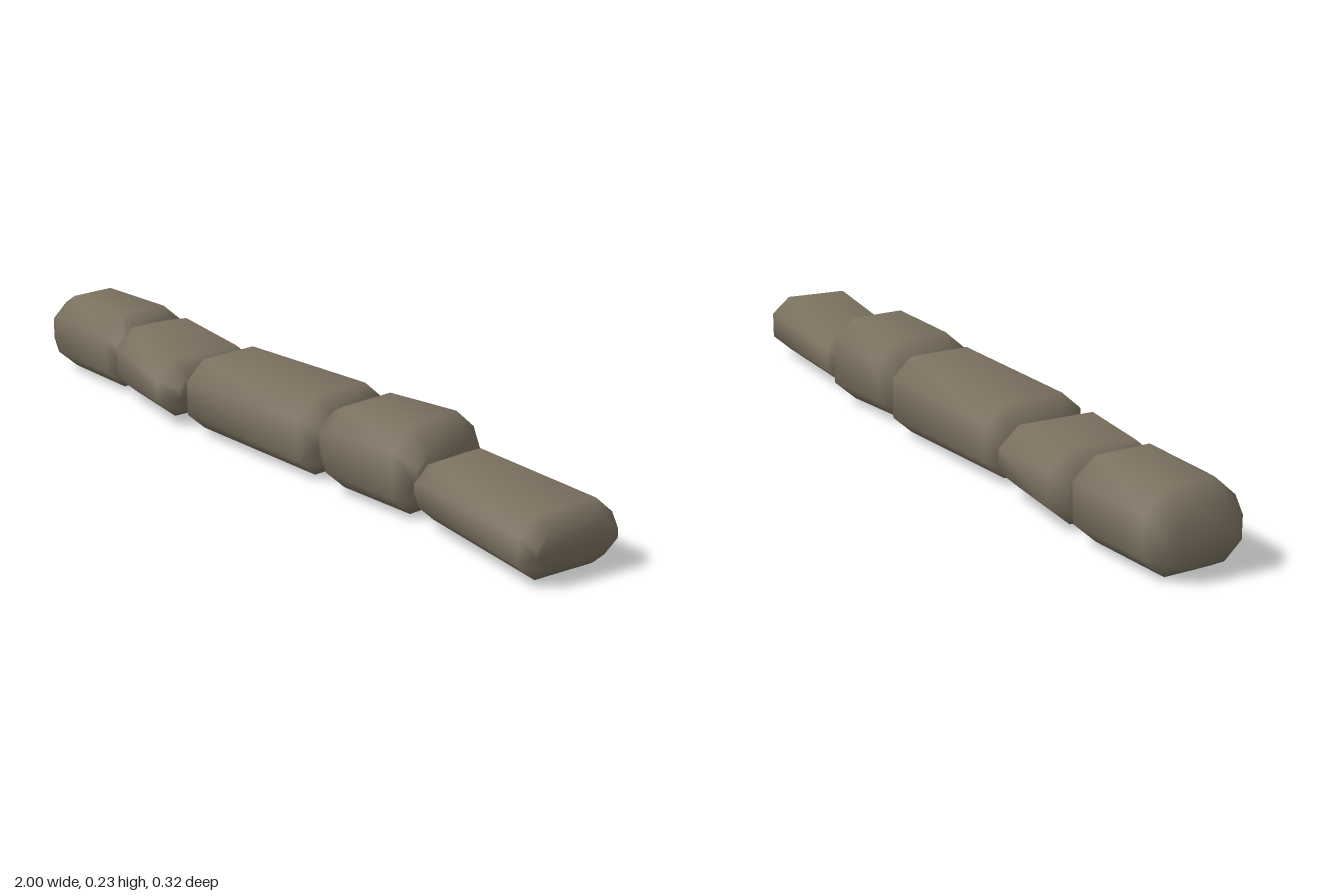
import * as THREE from 'three';

// Each stone is a list of cross-sections [x, yLow, yHigh, zBack, zFront, bevel, skew];
// skew shifts the section's x in proportion to z.
const stones = {
  endStoneRight: [
    [-1.0, 0.04, 0.18, -0.09, 0.08, 0.045, 0],
    [-0.94, 0.005, 0.215, -0.14, 0.105, 0.06, 0],
    [-0.7, 0.005, 0.215, -0.157, 0.105, 0.06, 0],
    [-0.64, 0.04, 0.18, -0.13, 0.09, 0.045, 0],
  ],
  skewedStone: [
    [-0.67, 0.04, 0.185, -0.11, 0.085, 0.045, 0],
    [-0.62, 0.015, 0.2, -0.16, 0.112, 0.055, -0.15],
    [-0.37, 0.025, 0.183, -0.15, 0.163, 0.055, -0.05],
    [-0.33, 0.055, 0.15, -0.12, 0.125, 0.035, 0],
  ],
  longStone: [
    [-0.33, 0.05, 0.17, -0.1, 0.1, 0.045, 0],
    [-0.275, 0.015, 0.207, -0.135, 0.14, 0.055, 0],
    [0.15, 0.008, 0.215, -0.158, 0.117, 0.055, 0],
    [0.2, 0.045, 0.185, -0.13, 0.085, 0.045, 0],
  ],
  tallStone: [
    [0.19, 0.05, 0.185, -0.11, 0.085, 0.045, 0],
    [0.265, 0.012, 0.225, -0.143, 0.125, 0.06, 0],
    [0.48, 0.006, 0.235, -0.16, 0.105, 0.06, 0],
    [0.535, 0.06, 0.185, -0.13, 0.08, 0.045, 0],
  ],
  endStoneLeft: [
    [0.525, 0.05, 0.145, -0.12, 0.08, 0.04, 0],
    [0.57, 0.025, 0.167, -0.14, 0.1, 0.045, 0],
    [0.95, 0.015, 0.174, -0.118, 0.148, 0.05, -0.12],
    [0.985, 0.05, 0.135, -0.1, 0.125, 0.035, -0.15],
  ],
};

// Lofts bevelled rectangular sections into one closed, smoothly shaded stone.
function stoneGeometry(sections) {
  const pos = [], index = [], n = 8;
  for (const [x, y0, y1, z0, z1, b, skew] of sections) {
    const h = b * 0.9;
    const ring = [
      [z1, y0 + h], [z1, y1 - h], [z1 - b, y1], [z0 + b, y1],
      [z0, y1 - h], [z0, y0 + h], [z0 + b, y0], [z1 - b, y0],
    ];
    for (const [z, y] of ring) pos.push(x + skew * z, y, z);
  }
  for (let i = 0; i < sections.length - 1; i++) {
    for (let j = 0; j < n; j++) {
      const a = i * n + j, b = i * n + (j + 1) % n;
      index.push(a, a + n, b, b, a + n, b + n);
    }
  }
  // End caps share the ring vertices so the shading rolls over the edge
  const last = (sections.length - 1) * n;
  for (let j = 1; j < n - 1; j++) {
    index.push(0, j, j + 1);
    index.push(last, last + j + 1, last + j);
  }
  const g = new THREE.BufferGeometry();
  g.setAttribute('position', new THREE.Float32BufferAttribute(pos, 3));
  g.setIndex(index);
  g.computeVertexNormals();
  return g;
}

export function createModel() {
  const group = new THREE.Group();
  group.name = 'stoneRow';
  const stone = new THREE.MeshStandardMaterial({ color: 0x7b7160 });
  stone.name = 'stone';
  for (const [name, sections] of Object.entries(stones)) {
    const mesh = new THREE.Mesh(stoneGeometry(sections), stone);
    mesh.name = name;
    group.add(mesh);
  }
  return group;
}
